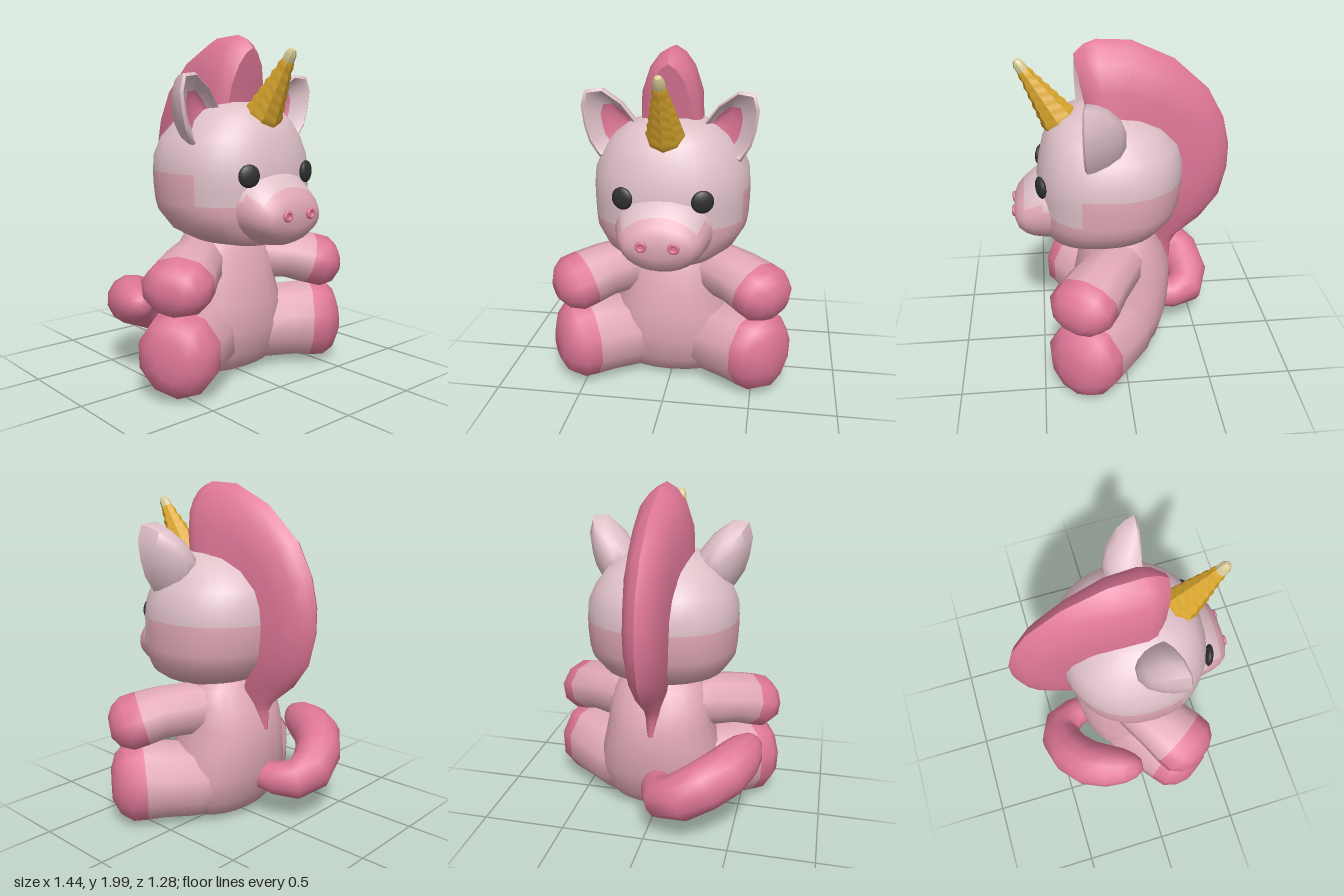
import * as THREE from 'three';
import { toCreasedNormals } from 'three/addons/utils/BufferGeometryUtils.js';

const mat = (name, color) => {
  const m = new THREE.MeshStandardMaterial({ color });
  m.name = name;
  return m;
};

// Closed skin over a list of rings; pick(ringIndex, centre) gives the material index of a face.
function loft(rings, crease = 0.7, pick = () => 0) {
  const n = rings[0].length, pts = rings.flat(), faces = [];
  const mean = (list) => list.reduce((s, p) => s.add(p), new THREE.Vector3()).divideScalar(list.length);
  const add = (row, a, b, c, d) => {
    const k = pick(row, mean([a, b, c, d].map((i) => pts[i])));
    faces.push([k, a, b, c]);
    if (d !== c) faces.push([k, a, c, d]);
  };
  const first = pts.push(mean(rings[0])) - 1;
  const last = pts.push(mean(rings[rings.length - 1])) - 1;
  const end = (rings.length - 1) * n;
  for (let j = 0; j < n; j++) {
    const k = (j + 1) % n;
    add(0, first, k, j, j);
    for (let i = 0; i < rings.length - 1; i++) add(i, i * n + j, i * n + k, (i + 1) * n + k, (i + 1) * n + j);
    add(rings.length - 1, last, end + j, end + k, end + k);
  }
  // turn the skin outward
  const cross = new THREE.Vector3();
  const volume = faces.reduce((v, [, a, b, c]) => v + pts[a].dot(cross.crossVectors(pts[b], pts[c])), 0);
  const g = new THREE.BufferGeometry().setFromPoints(pts);
  const index = [];
  for (let m = 0; m < 2; m++) {
    const start = index.length;
    for (const [k, a, b, c] of faces) if (k === m) index.push(a, ...(volume > 0 ? [b, c] : [c, b]));
    if (index.length > start) g.addGroup(start, index.length - start, m);
  }
  g.setIndex(index);
  return toCreasedNormals(g, crease);
}

// Rounded horizontal rings from rows of [y, half width, front z, back z].
function stack(rows, n, power) {
  const bend = (v) => Math.sign(v) * Math.abs(v) ** (2 / power);
  return rows.map(([y, w, f, b]) => Array.from({ length: n }, (_, j) => {
    const a = (j / n) * Math.PI * 2;
    return new THREE.Vector3(w * bend(Math.sin(a)), y, (f + b) / 2 + ((f - b) / 2) * bend(Math.cos(a)));
  }));
}

// Oval rings along a path of [x, y, z, half width, half height].
function sweep(path, n, side = 1) {
  const p = path.map(([x, y, z]) => new THREE.Vector3(x * side, y, z));
  return path.map(([, , , w, h], i) => {
    const t = p[Math.min(i + 1, p.length - 1)].clone().sub(p[Math.max(i - 1, 0)]).normalize();
    const s = new THREE.Vector3().crossVectors(t, new THREE.Vector3(0, 1, 0)).normalize();
    const u = new THREE.Vector3().crossVectors(s, t);
    return Array.from({ length: n }, (_, j) => {
      const a = ((j + 0.5) / n) * Math.PI * 2;
      return p[i].clone().addScaledVector(s, w * Math.cos(a)).addScaledVector(u, h * Math.sin(a));
    });
  });
}

export function createModel() {
  const pale = mat('palePink', 0xdfc0c8), pink = mat('softPink', 0xe0a8b5), deep = mat('deepPink', 0xdf7797);
  const gold = mat('gold', 0xdca82e), cream = mat('cream', 0xd9cb98), dark = mat('charcoal', 0x303030);
  const model = new THREE.Group();
  model.name = 'plushUnicorn';
  const put = (name, geometry, material, parent = model) => {
    const m = new THREE.Mesh(geometry, material);
    m.name = name;
    parent.add(m);
    return m;
  };

  // torso
  put('body', loft(stack([
    [0.01, 0.16, 0.1, -0.08], [0.05, 0.3, 0.2, -0.17], [0.15, 0.375, 0.27, -0.245], [0.3, 0.385, 0.3, -0.29],
    [0.45, 0.355, 0.3, -0.305], [0.6, 0.32, 0.27, -0.3], [0.72, 0.31, 0.24, -0.255], [0.82, 0.27, 0.2, -0.2],
    [0.9, 0.2, 0.15, -0.15],
  ], 20, 2.2), 1), pink);

  // head, pale above the cheek line and pink below it
  put('head', loft(stack([
    [0.815, 0.15, 0.36, 0], [0.84, 0.27, 0.44, -0.12], [0.9, 0.37, 0.47, -0.24], [1.0, 0.435, 0.485, -0.32],
    [1.06, 0.445, 0.485, -0.34], [1.16, 0.45, 0.49, -0.357], [1.23, 0.45, 0.49, -0.36], [1.32, 0.443, 0.475, -0.355],
    [1.42, 0.4, 0.45, -0.325], [1.52, 0.325, 0.405, -0.235], [1.58, 0.245, 0.34, -0.13], [1.62, 0.13, 0.23, 0],
  ], 32, 2.25), 1, (_, c) => (c.y > (c.z > 0.22 ? 1.06 : 1.23) ? 0 : 1)), [pale, pink]);

  // muzzle with a pale bridge, rows of [z, half width, top y, bottom y]
  put('muzzle', loft([
    [0.3, 0.3, 1.3, 0.83], [0.46, 0.26, 1.255, 0.83], [0.52, 0.24, 1.205, 0.84], [0.565, 0.22, 1.165, 0.86],
    [0.605, 0.185, 1.115, 0.895], [0.625, 0.13, 1.07, 0.95],
  ].map(([z, w, top, low]) => Array.from({ length: 28 }, (_, j) => {
    const a = (j / 28) * Math.PI * 2;
    return new THREE.Vector3(w * Math.cos(a), (top + low) / 2 + ((top - low) / 2) * Math.sin(a), z);
  })), 1, (row, c) => (row < 3 && c.y > 1.1 ? 0 : 1)), [pale, pink]);

  // horn with softly stepped bands and a cream tip
  const horn = new THREE.Group();
  horn.name = 'horn';
  horn.position.set(0, 1.545, 0.342);
  horn.rotation.x = Math.atan2(0.22, 0.345);
  model.add(horn);
  const profile = [[0.1, -0.06]];
  for (let i = 0; i < 6; i++) {
    const r = 0.107 - i * 0.0125;
    profile.push([r - 0.002, i * 0.058], [r, i * 0.058 + 0.029]);
  }
  profile.push([0.034, 0.35]);
  const lathe = (list) => toCreasedNormals(
    new THREE.LatheGeometry(list.map(([x, y]) => new THREE.Vector2(x, y)), 8), 0.5);
  put('hornShaft', lathe(profile), gold, horn);
  put('hornTip', lathe([[0.034, 0.35], [0.032, 0.39], [0.018, 0.416], [0, 0.421]]), cream, horn);

  // mane: ridged crest, rows of [outer z, outer y, inner z, inner y, half width]
  const crest = [
    [0.255, 1.92, 0.17, 1.5, 0.13], [0.2, 1.975, 0.15, 1.5, 0.165], [0.13, 2.0, 0.1, 1.5, 0.18],
    [-0.06, 1.99, -0.02, 1.5, 0.172], [-0.3, 1.88, -0.12, 1.45, 0.15], [-0.5, 1.7, -0.22, 1.4, 0.135],
    [-0.6, 1.52, -0.27, 1.27, 0.125], [-0.64, 1.35, -0.3, 1.18, 0.12], [-0.64, 1.2, -0.3, 1.08, 0.115],
    [-0.6, 1.02, -0.25, 0.95, 0.1], [-0.5, 0.88, -0.2, 0.85, 0.08], [-0.35, 0.755, -0.18, 0.74, 0.05],
    [-0.315, 0.69, -0.2, 0.67, 0.04], [-0.31, 0.58, -0.26, 0.59, 0.025],
  ];
  const half = [[0.07, 0.34], [0.22, 0.66], [0.5, 0.93], [1, 1]];
  put('mane', loft(crest.map(([oz, oy, iz, iy, w]) => {
    const at = (t, k) => new THREE.Vector3(w * k, oy + (iy - oy) * t, oz + (iz - oz) * t);
    return [at(0, 0), ...half.map(([t, k]) => at(t, k)), ...[...half].reverse().map(([t, k]) => at(t, -k))];
  }), 0.65), deep);

  // plump tail curling round to the right side
  put('tail', loft(sweep([
    [-0.03, 0.27, -0.2, 0.08, 0.08], [-0.05, 0.265, -0.34, 0.1, 0.1], [-0.1, 0.27, -0.44, 0.12, 0.12],
    [-0.21, 0.31, -0.475, 0.13, 0.145], [-0.34, 0.38, -0.435, 0.14, 0.155], [-0.45, 0.43, -0.345, 0.145, 0.15],
    [-0.51, 0.455, -0.235, 0.135, 0.14], [-0.545, 0.47, -0.13, 0.11, 0.115], [-0.565, 0.48, -0.06, 0.075, 0.08],
    [-0.57, 0.485, -0.02, 0.035, 0.04],
  ], 12), 1), deep);

  const earRim = [[0.18, 1.58], [0.27, 1.7], [0.38, 1.78], [0.47, 1.77], [0.495, 1.68], [0.48, 1.57],
    [0.455, 1.48], [0.4, 1.39], [0.28, 1.42]];

  for (const side of [1, -1]) {
    const prefix = side > 0 ? 'left' : 'right';
    // limb leaving the body outward and forward; rows of [distance, y, half width, half height]
    const limb = (rows) => sweep(rows.map(([t, y, w, h]) => [0.5 + 0.82 * t, y, 0.23 + 0.57 * t, w, h]), 10, side);
    put(prefix + 'Leg', loft(limb([
      [-0.5, 0.24, 0.2, 0.2], [-0.3, 0.25, 0.245, 0.23], [-0.12, 0.262, 0.245, 0.235], [0, 0.262, 0.235, 0.245],
      [0.09, 0.255, 0.225, 0.24], [0.155, 0.25, 0.165, 0.19], [0.19, 0.25, 0.09, 0.1],
    ]), 1.2, (row) => (row < 3 ? 0 : 1)), [pink, deep]);
    put(prefix + 'Arm', loft(limb([
      [-0.5, 0.71, 0.14, 0.13], [-0.3, 0.695, 0.165, 0.16], [-0.12, 0.68, 0.185, 0.155], [0, 0.65, 0.2, 0.16],
      [0.09, 0.625, 0.2, 0.16], [0.155, 0.61, 0.15, 0.12], [0.19, 0.605, 0.08, 0.06],
    ]), 1.2, (row) => (row < 3 ? 0 : 1)), [pink, deep]);

    // cupped ear: rounded back, broad rim sloping in, then a coloured hollow
    const ring = (k, cx, cy, z, lean = 0.17) => earRim.map(([px, py]) => {
      const x = cx + (px - cx) * k;
      return new THREE.Vector3(side * x, cy + (py - cy) * k, z + lean * (x - 0.18));
    });
    put(prefix + 'Ear', loft([
      ring(0.25, 0.3, 1.53, 0, 0), ring(0.58, 0.3, 1.53, 0.02, 0.08), ring(0.83, 0.31, 1.54, 0.065),
      ring(0.95, 0.32, 1.56, 0.12), ring(1, 0, 0, 0.175), ring(0.92, 0.31, 1.58, 0.188),
      ring(0.84, 0.3, 1.57, 0.175), ring(0.58, 0.27, 1.55, 0.12), ring(0.3, 0.29, 1.57, 0.105),
    ], 0.9, (row) => (row < 7 ? 0 : 1)), [pale, deep]);

    // eye
    const eye = put(prefix + 'Eye', new THREE.SphereGeometry(0.063, 18, 12), dark);
    eye.scale.z = 0.4;
    eye.position.set(side * 0.218, 1.23, 0.466);
    eye.rotation.y = side * 0.33;

    // nostril
    const nostril = put(prefix + 'Nostril', new THREE.TorusGeometry(0.022, 0.011, 8, 12), deep);
    nostril.position.set(side * 0.087, 1.02, 0.631);
    const hollow = put(prefix + 'NostrilCentre', new THREE.CircleGeometry(0.022, 12), deep);
    hollow.position.set(side * 0.087, 1.02, 0.63);
  }
  return model;
}
